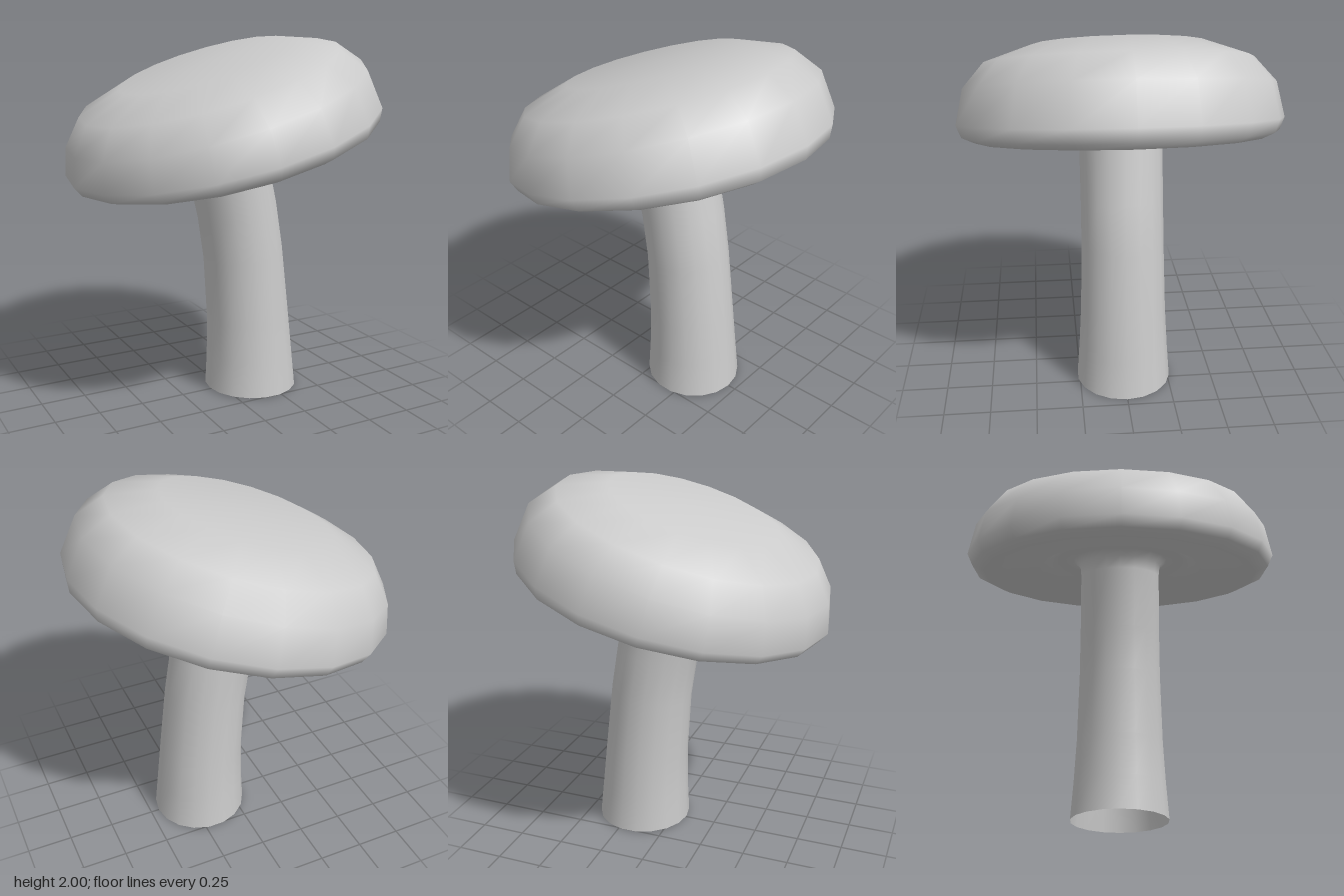
import * as THREE from 'three';
import { mergeVertices } from 'three/addons/utils/BufferGeometryUtils.js';

const SIDES = 18;

// Smooth skin over a stack of tilted rings: [centre x, centre y, radius, tilt in degrees]
function loft(rings) {
  const positions = [], index = [];
  rings.forEach(([cx, cy, r, tilt], j) => {
    const t = THREE.MathUtils.degToRad(tilt);
    for (let i = 0; i < SIDES; i++) {
      const a = (i / SIDES) * Math.PI * 2;
      const u = r * Math.cos(a);
      positions.push(cx + u * Math.cos(t), cy + u * Math.sin(t), r * Math.sin(a));
      if (j === rings.length - 1) continue;
      const p = j * SIDES + i, q = j * SIDES + ((i + 1) % SIDES);
      index.push(p, p + SIDES, q, p + SIDES, q + SIDES, q);
    }
  });
  let geometry = new THREE.BufferGeometry();
  geometry.setAttribute('position', new THREE.Float32BufferAttribute(positions, 3));
  geometry.setIndex(index);
  geometry = mergeVertices(geometry, 1e-5);
  geometry.computeVertexNormals();
  return geometry;
}

export function createModel() {
  const group = new THREE.Group();
  const material = new THREE.MeshStandardMaterial({ color: 0xcccccc, side: THREE.DoubleSide });
  const add = (name, geometry) => {
    const mesh = new THREE.Mesh(geometry, material);
    mesh.name = name;
    group.add(mesh);
    return mesh;
  };

  // Leaning stem, open at the foot, flaring where it runs into the cap
  add('stem', loft([
    [0.187, 0.004, 0.265, -0.8],
    [0.18, 0.2, 0.25, 2],
    [0.168, 0.43, 0.237, 4],
    [0.135, 0.8, 0.227, 8],
    [0.096, 1.05, 0.225, 11],
    [0.02, 1.38, 0.225, 14],
    [0.007, 1.445, 0.232, 14],
    [0.001, 1.476, 0.27, 14],
    [0, 1.481, 0.33, 14],
  ]));

  // Cap, from the hollow round the stem, out over the rim and up to the crown:
  // [centre shift, height, radius, extra tilt in degrees]
  const cap = add('cap', loft([
    [0, 0.1, 0.22, 0],
    [0, 0.1, 0.36, 0],
    [0, 0.085, 0.41, 0],
    [0, 0.05, 0.47, 0],
    [0, 0.036, 0.66, 0],
    [0, 0, 0.778, 0],
    [0, 0.03, 0.845, 0],
    [-0.003, 0.093, 0.872, 0.5],
    [-0.003, 0.275, 0.83, 2.8],
    [-0.011, 0.407, 0.716, 2.8],
    [-0.02, 0.493, 0.468, 3.6],
    [-0.022, 0.493, 0, 3.6],
  ]));
  cap.position.set(0.025, 1.383, 0);
  cap.rotation.z = THREE.MathUtils.degToRad(14);

  return group;
}
